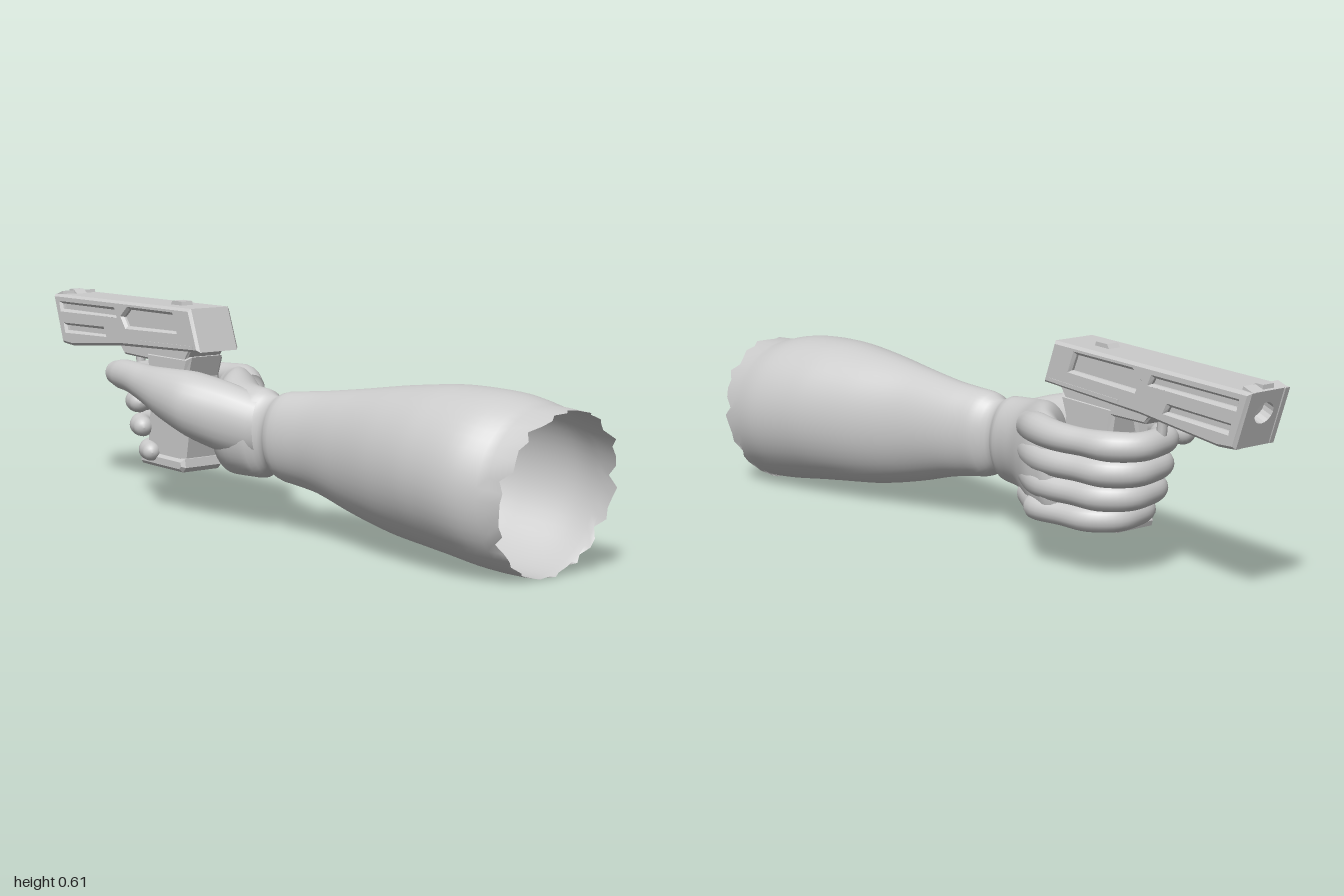
import * as THREE from 'three';

const GUN_X = -0.114;
const grey = new THREE.MeshStandardMaterial({ color: 0xcccccc });
const skin = new THREE.MeshStandardMaterial({ color: 0xcccccc, side: THREE.DoubleSide });

// Smooth limb through [x, y, z, halfWidth, halfHeight] sections, closed by a dome at the far end.
function limb(sections, steps, sides, planar = false) {
  const path = new THREE.CatmullRomCurve3(sections.map(s => new THREE.Vector3(s[0], s[1], s[2])));
  const size = new THREE.CatmullRomCurve3(sections.map(s => new THREE.Vector3(s[3], s[4], 0)));
  const up = new THREE.Vector3(0, 1, 0);
  const pos = [], index = [];
  const ring = (c, t, rw, rh) => {
    const side = up.clone().cross(t).normalize();
    for (let j = 0; j < sides; j++) {
      const a = (j / sides) * Math.PI * 2;
      const p = c.clone().addScaledVector(side, rw * Math.cos(a)).addScaledVector(up, rh * Math.sin(a));
      pos.push(p.x, p.y, p.z);
    }
  };
  const tangent = u => (planar ? new THREE.Vector3(0, 0, -1) : path.getTangent(u));
  for (let i = 0; i <= steps; i++) {
    const r = size.getPoint(i / steps);
    ring(path.getPoint(i / steps), tangent(i / steps), r.x, r.y);
  }
  const end = path.getPoint(1), t = tangent(1), r = size.getPoint(1), dome = 6;
  for (let i = 1; i <= dome; i++) {
    const a = (i / dome) * Math.PI * 0.495;
    ring(end.clone().addScaledVector(t, Math.min(r.x, r.y) * Math.sin(a)), t, r.x * Math.cos(a), r.y * Math.cos(a));
  }
  for (let i = 0; i < steps + dome; i++) {
    for (let j = 0; j < sides; j++) {
      const k = (j + 1) % sides, a = i * sides, b = a + sides;
      index.push(a + j, a + k, b + j, a + k, b + k, b + j);
    }
  }
  const g = new THREE.BufferGeometry();
  g.setAttribute('position', new THREE.Float32BufferAttribute(pos, 3));
  g.setIndex(index);
  g.computeVertexNormals();
  return g;
}

const outline = pts => pts.map(p => new THREE.Vector2(p[0], p[1]));

// Side profile in (z, y), extruded across x and centred on x = 0.
function sideExtrude(profile, width, bevel = 0, holes = []) {
  const shape = new THREE.Shape(outline(profile));
  holes.forEach(h => shape.holes.push(new THREE.Path(outline(h))));
  const depth = width - 2 * bevel;
  const g = new THREE.ExtrudeGeometry(shape, {
    depth, bevelEnabled: bevel > 0, bevelSize: bevel, bevelThickness: bevel, bevelOffset: -bevel, bevelSegments: 1,
  });
  return g.translate(0, 0, -depth / 2).rotateY(-Math.PI / 2);
}

export function createModel() {
  const model = new THREE.Group();
  const hand = new THREE.Group();
  hand.name = 'arm';
  const gun = new THREE.Group();
  gun.name = 'pistol';
  gun.position.x = GUN_X;
  model.add(hand, gun);
  const add = (parent, name, geometry, material = grey) => {
    const m = new THREE.Mesh(geometry, material);
    m.name = name;
    parent.add(m);
    return m;
  };

  // Forearm, wrist and palm in one hollow skin
  const sides = 48;
  const arm = limb([
    [0.1, 0.215, 0.92, 0.195, 0.215], [0.065, 0.235, 0.8, 0.22, 0.225],
    [0.035, 0.248, 0.65, 0.203, 0.217], [0.005, 0.25, 0.5, 0.167, 0.2],
    [-0.025, 0.255, 0.35, 0.125, 0.172], [-0.052, 0.266, 0.2, 0.098, 0.14],
    [-0.085, 0.27, 0.08, 0.085, 0.125], [-0.1, 0.27, 0, 0.085, 0.125],
    [-0.1, 0.272, -0.1, 0.105, 0.132], [-0.05, 0.275, -0.2, 0.095, 0.148],
    [0.005, 0.275, -0.28, 0.07, 0.145], [0.03, 0.27, -0.35, 0.052, 0.135],
  ], 60, sides, true);
  // Ragged cut end, longest along the top
  const p = arm.attributes.position;
  for (let j = 0; j < sides; j++) {
    const a = (j / sides) * Math.PI * 2;
    const jag = 0.014 * Math.sin(j * 2.4) + 0.008 * Math.sin(j * 5.1);
    p.setZ(j, Math.min(1, 0.935 + 0.042 * Math.sin(a) + jag));
  }
  arm.computeVertexNormals();
  add(hand, 'forearmAndPalm', arm, skin);

  // Thumb lying along the far side of the grip
  add(hand, 'thumb', limb([
    [-0.115, 0.285, 0.0, 0.06, 0.09], [-0.165, 0.31, -0.1, 0.075, 0.1],
    [-0.205, 0.335, -0.19, 0.085, 0.095], [-0.23, 0.355, -0.27, 0.068, 0.078],
    [-0.235, 0.375, -0.38, 0.052, 0.056], [-0.232, 0.388, -0.47, 0.043, 0.046],
    [-0.225, 0.39, -0.53, 0.043, 0.044], [-0.22, 0.39, -0.575, 0.035, 0.036],
  ], 40, 24), skin);

  // Fingers wrapping round the front of the grip: [name, height, forward reach, radius]
  [['indexFinger', 0.378, -0.6, 0.04], ['middleFinger', 0.307, -0.582, 0.041],
    ['ringFinger', 0.237, -0.563, 0.039], ['littleFinger', 0.168, -0.52, 0.036]].forEach(([name, y, z, r]) => {
    add(hand, name, limb([
      [0.0, y * 0.9 + 0.025, -0.2, r * 0.9, r], [0.038, y, -0.29, r * 1.05, r * 1.1],
      [0.05, y, z + 0.22, r * 0.98, r], [0.036, y, z + 0.13, r * 0.9, r * 0.92],
      [0.012, y, z + 0.05, r, r], [-0.045, y, z, r * 0.92, r * 0.96],
      [-0.11, y, z + 0.006, r * 0.92, r * 0.94], [-0.165, y, z + 0.03, r * 0.88, r * 0.88],
      [-0.188, y, z + 0.075, r * 0.75, r * 0.75],
    ], 40, 20), skin);
  });

  // Slide: inner core with slotted, chamfered side panels
  const core = [[-0.205, 0.48], [-0.25, 0.6], [-0.962, 0.592], [-0.915, 0.44], [-0.89, 0.438], [-0.6, 0.464]];
  const panel = [[-0.205, 0.48], [-0.25, 0.6], [-0.965, 0.592], [-1, 0.59], [-0.95, 0.442], [-0.89, 0.438], [-0.6, 0.464]];
  const slots = [
    [[-0.32, 0.53], [-0.34, 0.576], [-0.57, 0.574], [-0.6, 0.55], [-0.58, 0.524]],
    [[-0.64, 0.55], [-0.65, 0.567], [-0.955, 0.564], [-0.95, 0.547]],
    [[-0.63, 0.52], [-0.65, 0.537], [-0.82, 0.534], [-0.81, 0.517]],
    [[-0.7, 0.488], [-0.71, 0.504], [-0.93, 0.499], [-0.925, 0.483]],
  ];
  add(gun, 'slideCore', sideExtrude(core, 0.112));
  for (const s of [-1, 1]) {
    add(gun, 'slidePanel', sideExtrude(panel, 0.03, 0.008, slots)).position.x = s * 0.056;
    add(gun, 'frameRail', sideExtrude([[-0.23, 0.488], [-0.23, 0.496], [-0.52, 0.488], [-0.52, 0.48]], 0.006)).position.x = s * 0.07;
  }

  // Sloping muzzle plate with the bore
  const face = new THREE.Shape(outline([[-0.058, -0.078], [0.058, -0.078], [0.058, 0.078], [-0.058, 0.078]]));
  const bore = new THREE.Path();
  bore.absarc(0, 0.015, 0.03, 0, Math.PI * 2, true);
  face.holes.push(bore);
  const muzzle = add(gun, 'muzzlePlate',
    new THREE.ExtrudeGeometry(face, { depth: 0.036, bevelEnabled: false, curveSegments: 8 }));
  muzzle.position.set(0, 0.516, -0.973);
  muzzle.rotation.x = -0.32;

  // Sights
  add(gun, 'rearSight', sideExtrude([[-0.36, 0.595], [-0.365, 0.61], [-0.41, 0.61], [-0.42, 0.595]], 0.038));
  add(gun, 'frontSight', sideExtrude([[-0.93, 0.585], [-0.965, 0.604], [-0.99, 0.604], [-0.99, 0.585]], 0.036));

  // Frame, grip and magazine base
  add(gun, 'frame', sideExtrude([[-0.26, 0.485], [-0.64, 0.47], [-0.61, 0.438], [-0.3, 0.43]], 0.12, 0.006));
  add(gun, 'grip', sideExtrude(
    [[-0.265, 0.46], [-0.49, 0.46], [-0.475, 0.38], [-0.48, 0.25], [-0.495, 0.15], [-0.3, 0.15], [-0.275, 0.28], [-0.285, 0.4]], 0.125, 0.012));
  add(gun, 'magazineBase', sideExtrude(
    [[-0.29, 0.165], [-0.5, 0.165], [-0.515, 0.14], [-0.51, 0.125], [-0.3, 0.125], [-0.285, 0.14]], 0.142, 0.01));

  // Trigger and guard
  const guard = new THREE.CatmullRomCurve3([[-0.48, 0.37], [-0.54, 0.355], [-0.6, 0.375], [-0.615, 0.445]]
    .map(q => new THREE.Vector3(0, q[1], q[0])));
  add(gun, 'triggerGuard', new THREE.TubeGeometry(guard, 16, 0.014, 8));
  add(gun, 'trigger', sideExtrude([[-0.51, 0.445], [-0.535, 0.445], [-0.54, 0.385], [-0.53, 0.38]], 0.03));

  return model;
}
